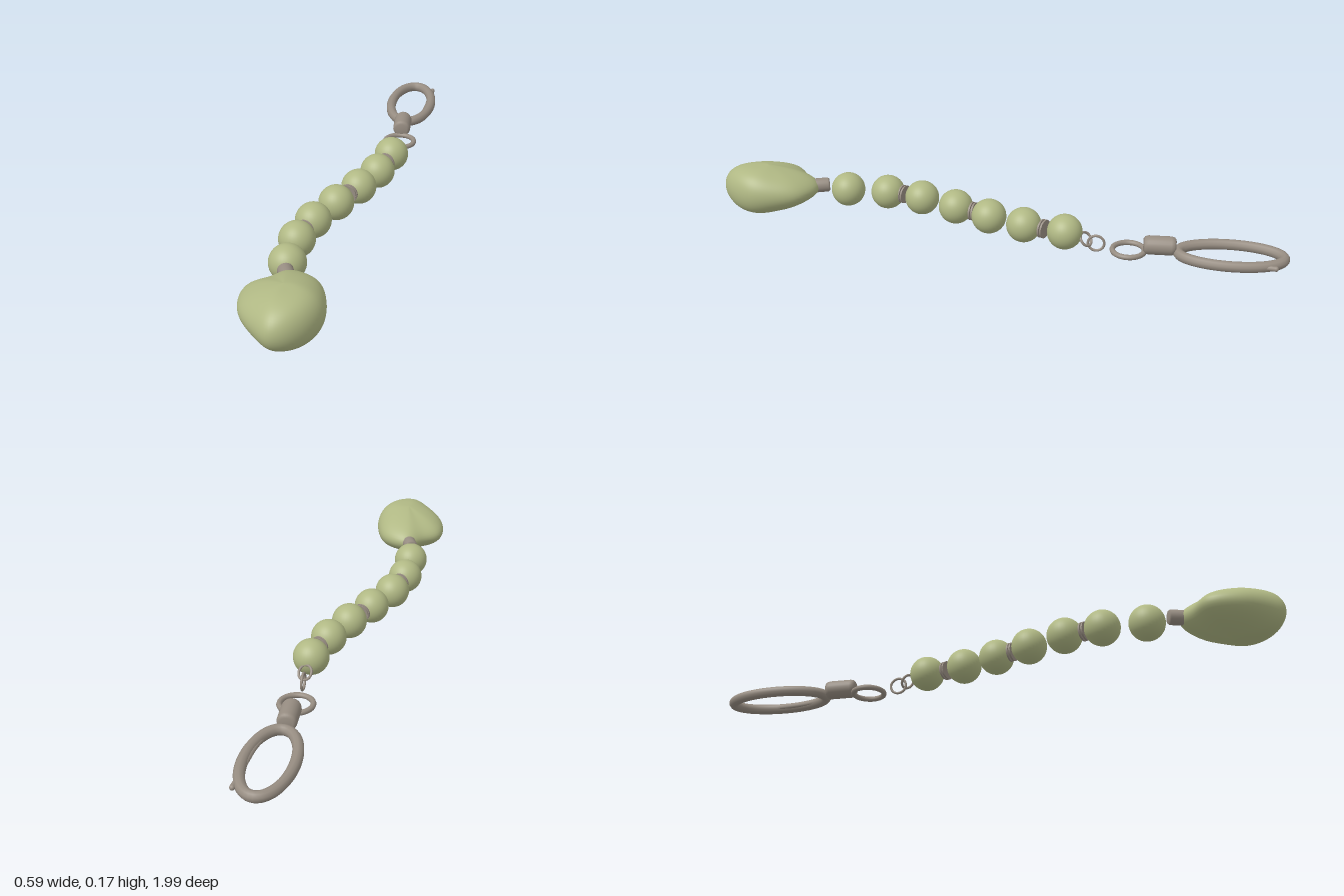
import * as THREE from 'three';

export function createModel() {
  const group = new THREE.Group();
  const green = new THREE.MeshStandardMaterial({ color: 0xb0b884 });
  green.name = 'sage green';
  const metal = new THREE.MeshStandardMaterial({ color: 0x978d82 });
  metal.name = 'warm grey metal';
  const V = (x, y, z) => new THREE.Vector3(x, y, z);

  const add = (name, geometry, material, pos = V(0, 0, 0)) => {
    const mesh = new THREE.Mesh(geometry, material);
    mesh.name = name;
    mesh.position.copy(pos);
    group.add(mesh);
    return mesh;
  };
  // Ring whose axis points along a given direction
  const ring = (name, pos, radius, tube, axis) => {
    const m = add(name, new THREE.TorusGeometry(radius, tube, 10, 40), metal, pos);
    m.quaternion.setFromUnitVectors(V(0, 0, 1), axis.normalize());
    return m;
  };
  // Turned part whose profile runs from a to b
  const turned = (name, a, b, profile) => {
    const dir = b.clone().sub(a);
    const points = profile.map(([r, t]) => new THREE.Vector2(r, t * dir.length()));
    const m = add(name, new THREE.LatheGeometry(points, 24), metal, a);
    m.quaternion.setFromUnitVectors(V(0, 1, 0), dir.normalize());
    return m;
  };

  // Row of beads, x and z
  const beads = [[-0.016, -0.27], [0, -0.122], [-0.005, 0.016], [-0.02, 0.156],
    [-0.03, 0.3], [-0.016, 0.435], [0.03, 0.577]];
  const beadGeometry = new THREE.SphereGeometry(0.0615, 32, 24);
  for (const [x, z] of beads) add('bead', beadGeometry, green, V(x, 0.07, z));

  // Paired spacer discs between some of the beads
  for (const [x, z, turn] of [[-0.003, -0.195, 0.1], [-0.013, 0.083, -0.08], [-0.024, 0.373, 0.04]]) {
    for (const side of [-1, 1]) {
      const disc = add('spacerDisc', new THREE.CylinderGeometry(0.033, 0.033, 0.006, 24), metal,
        V(x, 0.07, z + side * 0.005));
      disc.rotation.set(Math.PI / 2, 0, turn);
    }
  }

  // Pendant: closed plan outline, swept into a pebble with a sharp side and a blunt side
  const outline = new THREE.CatmullRomCurve3([
    [0.12, 0.656], [0.2, 0.677], [0.26, 0.746], [0.293, 0.825], [0.283, 0.905], [0.245, 0.968],
    [0.2, 0.992], [0.135, 0.968], [0.055, 0.91], [0.015, 0.836], [0.013, 0.788], [0.05, 0.73],
    [0.08, 0.67],
  ].map(([x, z]) => V(x, 0, z)), true);
  const rows = 32, cols = 64, cx = 0.165, cz = 0.83;
  const pendant = new THREE.SphereGeometry(1, cols, rows);
  const p = pendant.attributes.position;
  for (let i = 0; i <= rows; i++) {
    const phi = Math.PI * (0.5 - i / rows);
    for (let j = 0; j <= cols; j++) {
      const o = outline.getPoint((1 - j / cols) % 1);
      const d = V(o.x - cx, 0, o.z - cz);
      const n = d.clone().normalize();
      const s = Math.pow(Math.max(0, Math.cos(phi)), 1.15 - 0.55 * n.x - 0.35 * n.z);
      p.setXYZ(i * (cols + 1) + j, cx + d.x * s, 0.086 + 0.086 * Math.sin(phi), cz + d.z * s);
    }
  }
  pendant.computeVertexNormals();
  // Join the normals along the seam
  const nrm = pendant.attributes.normal;
  for (let i = 0; i <= rows; i++) {
    const a = i * (cols + 1), b = a + cols;
    const n = new THREE.Vector3().fromBufferAttribute(nrm, a)
      .add(new THREE.Vector3().fromBufferAttribute(nrm, b)).normalize();
    nrm.setXYZ(a, n.x, n.y, n.z);
    nrm.setXYZ(b, n.x, n.y, n.z);
  }
  add('pendant', pendant, green);

  // Collar joining the pendant to the beads
  turned('pendantCollar', V(0.058, 0.087, 0.64), V(0.105, 0.087, 0.7),
    [[0, 0], [0.021, 0], [0.026, 0.08], [0.026, 0.9], [0.021, 1], [0, 1]]);

  // Small links leading from the last bead to the flat jump ring
  ring('beadLink', V(-0.034, 0.05, -0.342), 0.025, 0.0045, V(0.15, 0.62, -0.78));
  ring('chainLink', V(-0.046, 0.036, -0.375), 0.028, 0.0045, V(0.95, 0, -0.31));
  ring('jumpRing', V(-0.082, 0.018, -0.48), 0.055, 0.0095, V(0, 1, 0));

  // Swivel barrel
  turned('swivelBarrel', V(-0.097, 0.043, -0.528), V(-0.136, 0.043, -0.632),
    [[0, 0], [0.022, 0], [0.03, 0.05], [0.033, 0.15], [0.033, 0.85], [0.03, 0.95], [0.022, 1], [0, 1]]);

  // Long oval clasp
  const lean = 0.315;
  const loop = [];
  for (let i = 0; i < 24; i++) {
    const a = i / 24 * Math.PI * 2, u = Math.cos(a) * 0.079, v = Math.sin(a) * 0.178;
    loop.push(V(-0.185 + u * Math.cos(lean) + v * Math.sin(lean), 0.027,
      -0.81 - u * Math.sin(lean) + v * Math.cos(lean)));
  }
  add('claspLoop', new THREE.TubeGeometry(new THREE.CatmullRomCurve3(loop, true), 80, 0.0185, 10, true), metal);

  // Slim gate lever along the clasp, its tip sticking out
  const lever = new THREE.CatmullRomCurve3([V(-0.161, 0.027, -0.972), V(-0.15, 0.027, -0.925),
    V(-0.126, 0.027, -0.845), V(-0.106, 0.027, -0.76), V(-0.1, 0.027, -0.69)]);
  add('gateLever', new THREE.TubeGeometry(lever, 24, 0.009, 8), metal);
  add('gateTip', new THREE.SphereGeometry(0.009, 12, 8), metal, lever.getPoint(0));

  return group;
}
